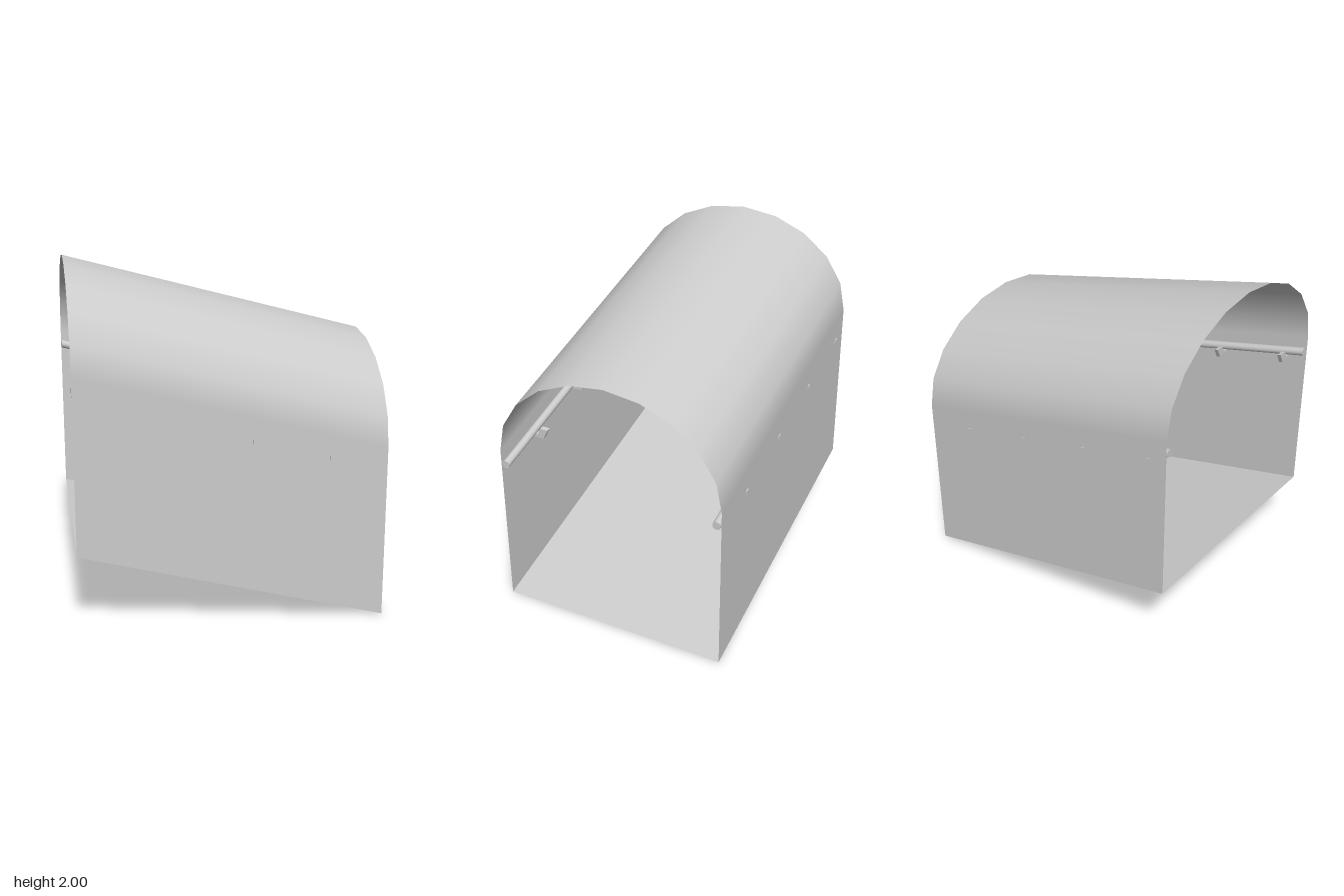
import * as THREE from 'three';

const LENGTH = 1.72, HALF_WIDTH = 0.686, WALL = 0.99, ARCH = 0.55, DROP = 0.46;

export function createModel() {
  const model = new THREE.Group();
  model.name = 'slopedTunnel';
  const material = new THREE.MeshStandardMaterial({ color: 0xcccccc, side: THREE.DoubleSide });

  // Everything is modelled level, then sheared so it descends towards +x
  const slope = DROP / LENGTH;
  const shear = new THREE.Matrix4().set(
    1, 0, 0, 0,
    -slope, 1, 0, DROP / 2,
    0, 0, 1, 0,
    0, 0, 0, 1);

  function add(parent, name, geometry) {
    const mesh = new THREE.Mesh(geometry.applyMatrix4(shear), material);
    mesh.name = name;
    parent.add(mesh);
  }

  // Floor
  add(model, 'floor', new THREE.PlaneGeometry(LENGTH, HALF_WIDTH * 2).rotateX(-Math.PI / 2));

  // Arched roof: smooth half cylinder, open at both ends
  add(model, 'archedRoof', new THREE.CylinderGeometry(1, 1, LENGTH, 10, 1, true, 0, Math.PI)
    .rotateZ(Math.PI / 2).scale(1, ARCH, HALF_WIDTH).translate(0, WALL, 0));

  // Bracket profile: arm through the wall with an upturned lip (x becomes z)
  const bracket = new THREE.Shape([
    [0.692, 0.851], [0.692, 0.871], [0.64, 0.871],
    [0.62, 0.911], [0.57, 0.911], [0.6, 0.851],
  ].map(([z, y]) => new THREE.Vector2(z, y)));
  const bracketWidth = 0.024;

  // Each side: wall, handrail and four brackets
  for (const side of [1, -1]) {
    const group = new THREE.Group();
    group.name = side > 0 ? 'frontSide' : 'backSide';
    group.scale.z = side;
    model.add(group);

    add(group, 'wall', new THREE.PlaneGeometry(LENGTH, WALL).translate(0, WALL / 2, HALF_WIDTH));
    add(group, 'handrail', new THREE.CylinderGeometry(0.024, 0.024, LENGTH, 16)
      .rotateZ(Math.PI / 2).translate(0, 0.905, 0.657));
    for (let i = 0; i < 4; i++) {
      add(group, 'railBracket',
        new THREE.ExtrudeGeometry(bracket, { depth: bracketWidth, bevelEnabled: false })
          .rotateY(-Math.PI / 2)
          .translate(-0.745 + i * 0.43 + bracketWidth / 2, 0, 0));
    }
  }
  return model;
}
